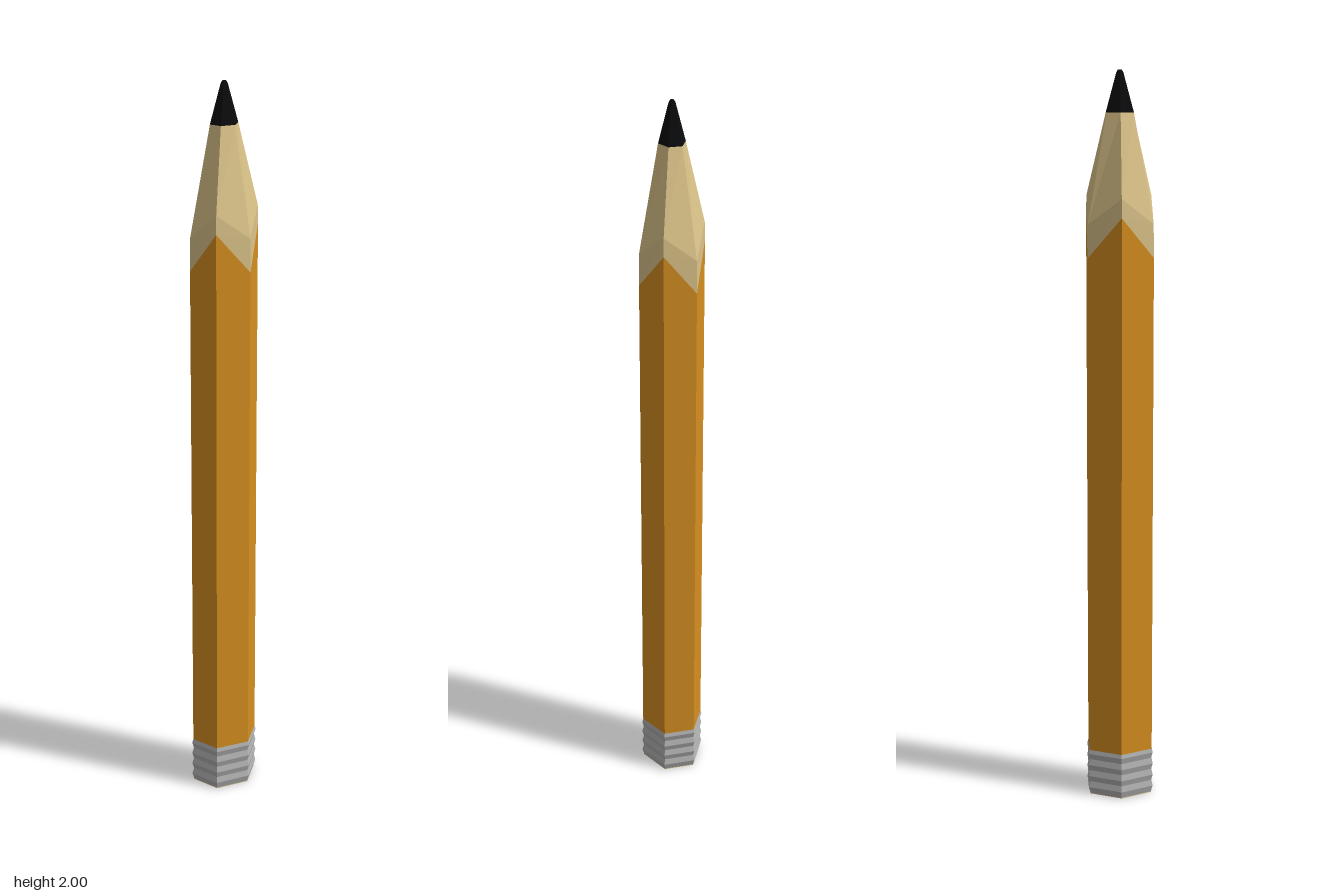
import * as THREE from 'three';

// Lofts six-sided rings [radius, y at even corners, y at odd corners], listed bottom to top.
function hexLoft(name, color, rings, capBottom, capTop) {
  const corner = ([r, even, odd = even], i) => {
    const a = (i * Math.PI) / 3;
    // Widened in x so the section is as wide as it is deep
    return [r * 1.155 * Math.sin(a), i % 2 ? odd : even, r * Math.cos(a)];
  };
  const pos = [];
  for (let i = 0; i < 6; i++) {
    for (let k = 0; k + 1 < rings.length; k++) {
      const a = corner(rings[k], i), b = corner(rings[k], i + 1);
      const c = corner(rings[k + 1], i + 1), d = corner(rings[k + 1], i);
      pos.push(...a, ...b, ...c, ...a, ...c, ...d);
    }
    const low = rings[0], top = rings[rings.length - 1];
    if (capBottom) pos.push(0, low[1], 0, ...corner(low, i + 1), ...corner(low, i));
    if (capTop) pos.push(0, top[1], 0, ...corner(top, i), ...corner(top, i + 1));
  }
  const geometry = new THREE.BufferGeometry();
  geometry.setAttribute('position', new THREE.Float32BufferAttribute(pos, 3));
  geometry.computeVertexNormals();
  const mesh = new THREE.Mesh(geometry, new THREE.MeshStandardMaterial({ color, flatShading: true }));
  mesh.name = name;
  return mesh;
}

export function createModel() {
  const pencil = new THREE.Group();
  pencil.name = 'pencil';
  const wood = 0xdcc48a, black = 0x0b0b0d;

  // Corrugated metal band at the foot
  const band = [[0.085, 0.002]];
  for (let k = 0; k < 7; k++) band.push([k % 2 ? 0.0855 : 0.09, 0.02 + k * 0.0165]);
  band.push([0.087, 0.13]);
  pencil.add(hexLoft('metalBand', 0xb0b0b0, band));

  // Bare wood end with the core showing
  pencil.add(hexLoft('woodEnd', wood, [[0.085, 0], [0.085, 0.004]], true));
  pencil.add(hexLoft('coreEnd', black, [[0.02, -0.0005], [0.02, 0.002]], true));

  // Painted shaft, its upper edge cut in a zigzag
  pencil.add(hexLoft('paintedShaft', 0xd68f20, [[0.087, 0.125], [0.088, 1.51, 1.62]]));

  // Sharpened wood: short collar, then the taper
  pencil.add(hexLoft('sharpenedWood', wood, [[0.088, 1.51, 1.62], [0.087, 1.6, 1.67], [0.036, 1.89]]));

  // Blunt writing tip
  pencil.add(hexLoft('writingTip', black, [[0.036, 1.89], [0.009, 1.993], [0.005, 2]], false, true));

  return pencil;
}
